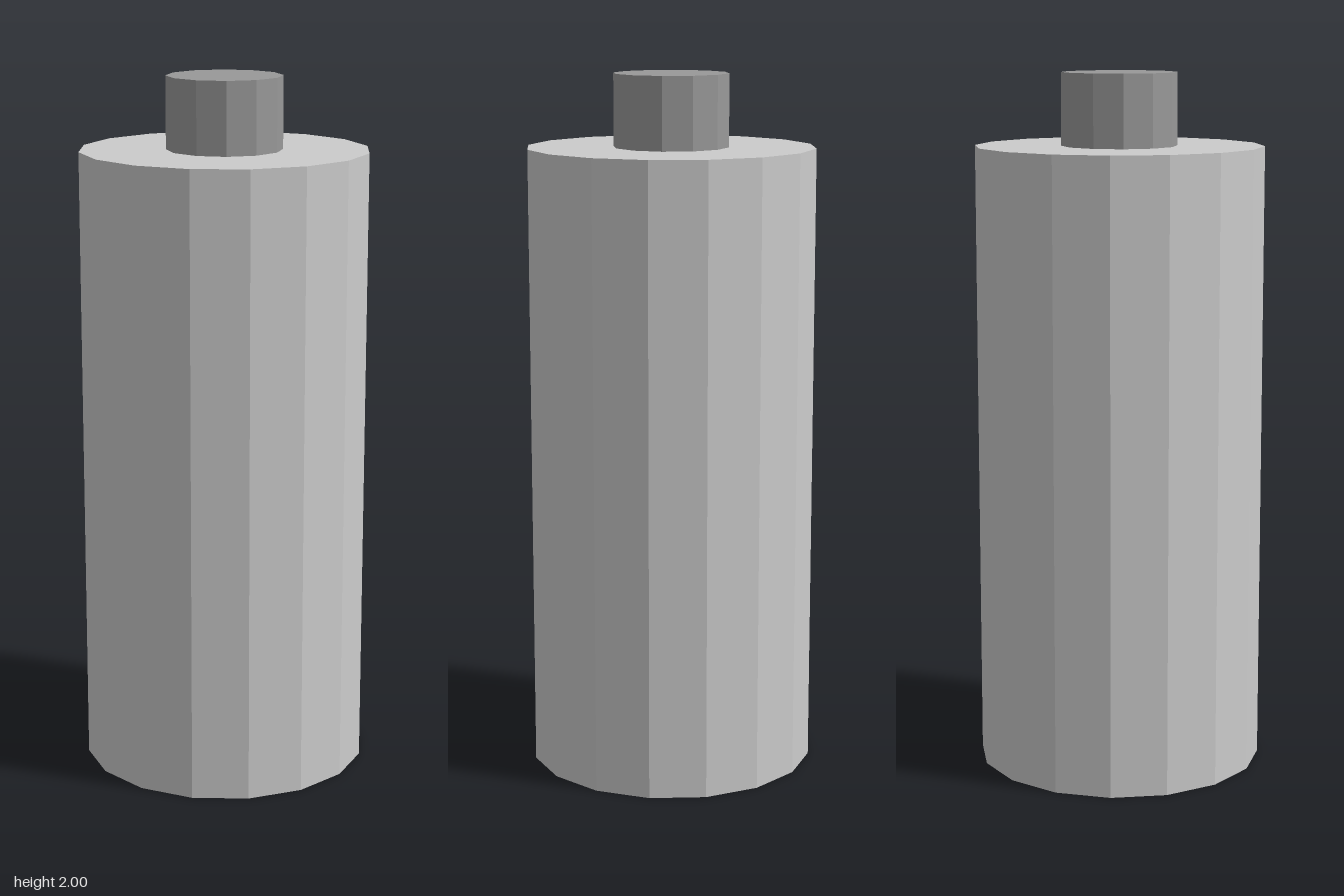
import * as THREE from 'three';

const BODY_HEIGHT = 1.794;
const TOTAL_HEIGHT = 2;

// Upright faceted cylinder standing between two heights
function drum(name, radius, bottom, top, sides, color) {
  const geometry = new THREE.CylinderGeometry(radius, radius, top - bottom, sides);
  geometry.translate(0, (bottom + top) / 2, 0);
  const material = new THREE.MeshStandardMaterial({ color, flatShading: true });
  const mesh = new THREE.Mesh(geometry, material);
  mesh.name = name;
  return mesh;
}

export function createModel() {
  const group = new THREE.Group();
  group.name = 'canister';
  // Main body
  group.add(drum('body', 0.412, 0, BODY_HEIGHT, 16, 0xcccccc));
  // Darker, narrower cap on top
  group.add(drum('cap', 0.165, BODY_HEIGHT, TOTAL_HEIGHT, 12, 0x999999));
  return group;
}
